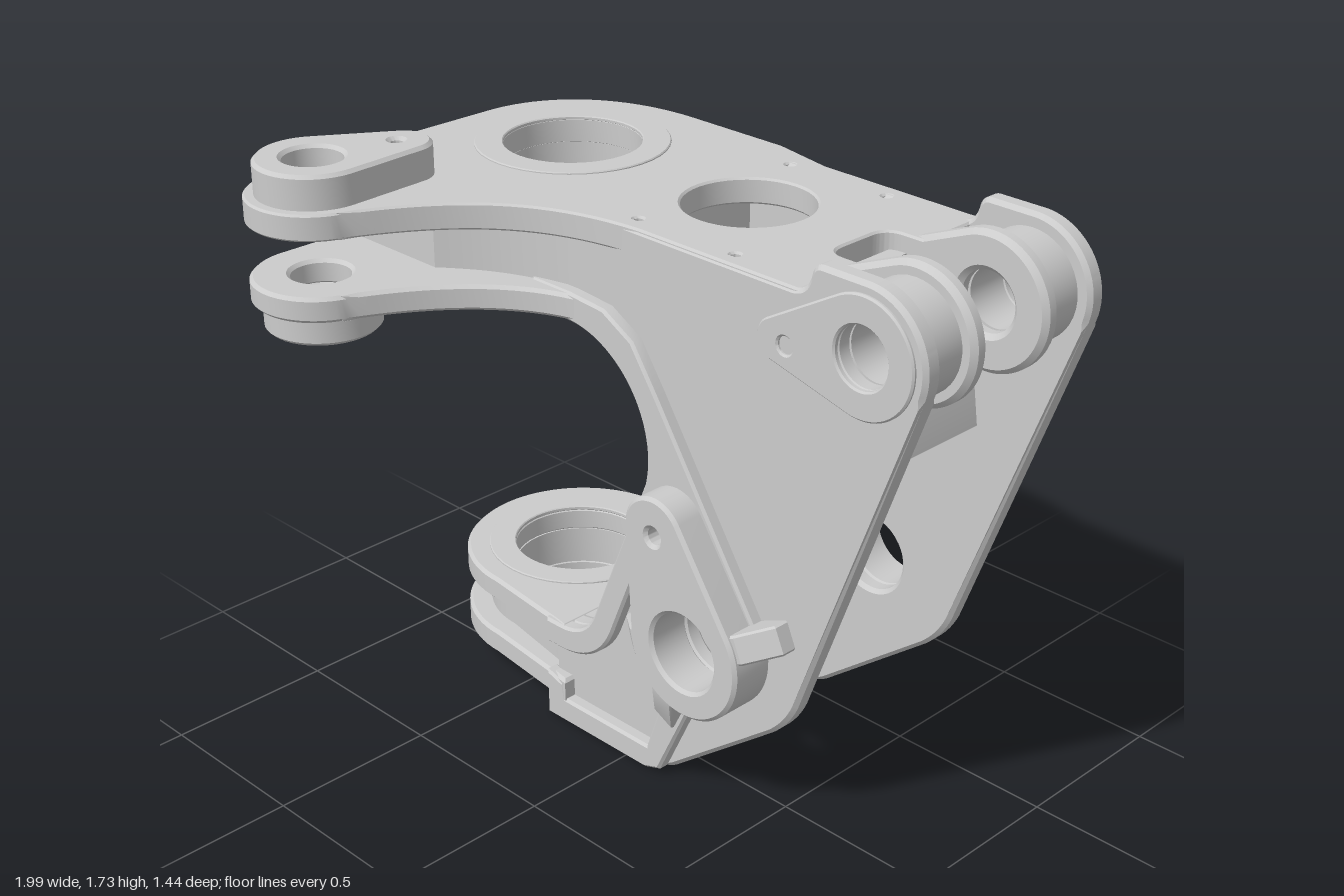
import * as THREE from 'three';
import { toCreasedNormals } from 'three/addons/utils/BufferGeometryUtils.js';

const PI = Math.PI, MID = -0.245; // MID: z of the symmetry plane of the body
const mat = new THREE.MeshStandardMaterial({ color: 0xcccccc, side: THREE.DoubleSide });

export function createModel() {
  const model = new THREE.Group();

  const add = (name, geo) => {
    const mesh = new THREE.Mesh(toCreasedNormals(geo, 0.5), mat);
    mesh.name = name;
    model.add(mesh);
  };
  const extrude = (shape, depth, bevel) => new THREE.ExtrudeGeometry(shape, {
    depth: depth - 2 * bevel, curveSegments: 20, bevelEnabled: bevel > 0,
    bevelSize: bevel, bevelThickness: bevel, bevelOffset: -bevel, bevelSegments: 1,
  }).translate(0, 0, bevel);
  // Shape in (x, y), extruded from z0 to z1
  const side = (name, shape, z0, z1, bevel = 0.008) =>
    add(name, extrude(shape, z1 - z0, bevel).translate(0, 0, z0));
  // The same on both sides of the symmetry plane
  const both = (name, shape, z0, z1, bevel) => {
    side(name, shape, z0, z1, bevel);
    side(name, shape, 2 * MID - z1, 2 * MID - z0, bevel);
  };
  // Shape in (x, z), extruded from y0 to y1
  const plan = (name, shape, y0, y1, bevel = 0.01) =>
    add(name, extrude(shape, y1 - y0, bevel).rotateX(PI / 2).translate(0, y1, 0));

  const poly = (pts) => new THREE.Shape(pts.map(([x, y]) => new THREE.Vector2(x, y)));
  const drill = (shape, ...holes) => {
    for (const [x, y, r] of holes)
      shape.holes.push(new THREE.Path().absarc(x, y, r, 0, 2 * PI, true));
    return shape;
  };
  const disc = (x, y, r) => new THREE.Shape().absarc(x, y, r, 0, 2 * PI);
  // Teardrop: two circles joined by tangents
  const taper = (x1, y1, r1, x2, y2, r2) => {
    const d = Math.atan2(y2 - y1, x2 - x1);
    const b = Math.acos((r1 - r2) / Math.hypot(x2 - x1, y2 - y1));
    const s = new THREE.Shape();
    s.absarc(x1, y1, r1, d + b, d - b + 2 * PI);
    s.absarc(x2, y2, r2, d - b, d + b);
    s.closePath();
    return s;
  };
  // Band of thickness t on the left of a run of points
  const strip = (pts, t) => {
    const off = pts.map(([x, y], i) => {
      const a = pts[Math.max(i - 1, 0)], b = pts[Math.min(i + 1, pts.length - 1)];
      const l = Math.hypot(b[0] - a[0], b[1] - a[1]);
      return [x - t * (b[1] - a[1]) / l, y + t * (b[0] - a[0]) / l];
    });
    return poly([...pts, ...off.reverse()]);
  };

  // Inner edge of the C, from the upper arm down to the lower arm
  const throat = (p) => {
    p.moveTo(-0.35, 1.32);
    p.lineTo(-0.22, 1.32);
    p.absarc(-0.22, 1.0, 0.315, PI / 2, -0.25, true);
    p.lineTo(-0.12, 0.43);
    p.quadraticCurveTo(-0.16, 0.33, -0.27, 0.33);
    p.lineTo(-0.33, 0.33);
    return p;
  };
  const cPts = throat(new THREE.Path()).getPoints(16).map((v) => [v.x, v.y])
    .filter((p, i, a) => !i || Math.hypot(p[0] - a[i - 1][0], p[1] - a[i - 1][1]) > 1e-4);

  const kingpin = [-0.6, MID, 0.2], lugHole = [-0.8, 0.52, 0.085];
  const earHole = [0.8, 1.52, 0.085], pivot = [0.32, 0.53, 0.115];

  // Side plates
  const plate = throat(new THREE.Shape());
  plate.lineTo(-0.33, 0);
  plate.lineTo(0.08, 0);
  plate.quadraticCurveTo(0.13, 0, 0.17, 0.03);
  plate.lineTo(0.53, 0.31);
  plate.quadraticCurveTo(0.59, 0.36, 0.62, 0.43);
  plate.lineTo(0.983, 1.452);
  plate.absarc(0.8, 1.52, 0.195, -0.36, PI / 2);
  plate.lineTo(0.66, 1.715);
  plate.quadraticCurveTo(0.63, 1.715, 0.622, 1.68);
  plate.quadraticCurveTo(0.61, 1.63, 0.56, 1.63);
  plate.lineTo(-0.35, 1.63);
  plate.closePath();
  both('sidePlate', drill(plate, earHole, pivot, [0.21, 0.85, 0.025]), 0.05, 0.11, 0.012);

  // Raised panel, throat rim and lower rail on the outer faces
  both('raisedPanel', poly([...cPts.filter((p) => p[1] > 0.9), [0.01, 0.74], [0.1, 0.7], [0.2, 0.62],
    [0.5, 0.64], [0.13, 1.2], [0.04, 1.33], [-0.07, 1.39], [-0.2, 1.4], [-0.35, 1.4]]), 0.1, 0.148);
  const low = [[0.012, 0.75], ...cPts.filter((p) => p[1] < 0.5)];
  both('throatRim', strip(low, 0.08), 0.1, 0.148);
  both('lowerRail', poly([[-0.33, 0], [0.08, 0], [0.14, 0.02], [0.29, 0.34], [0.18, 0.34],
    [0.09, 0.08], [-0.25, 0.08], [-0.26, 0.13], [-0.33, 0.15]]), 0.1, 0.148);

  // Walls between the side plates
  const across = (name, shape) => side(name, shape, -0.545, 0.055, 0);
  across('throatWall', strip(cPts, 0.05));
  across('crossMember', strip([[0.49, 1.58], [0.49, 1.42], [0.6, 1.2], [0.62, 1.06]], 0.05));
  across('floor', poly([[-0.33, 0], [0.08, 0], [0.14, 0.02], [0.14, 0.05], [-0.33, 0.05]]));
  side('centreRib', poly([[-0.27, 0.03], [0.13, 0.03], [0.02, 0.3], [-0.04, 0.42], [-0.1, 0.42],
    [-0.27, 0.3]]), MID - 0.022, MID + 0.022);

  // Upper arm: top plate with clevis slot, bottom flange, recessed web
  const lugEnd = (s) => { // shared outline around the lug and the bearing
    s.absarc(-0.8, 0.52, 0.195, 0.3, PI);
    s.lineTo(-0.98, MID);
    s.bezierCurveTo(-0.98, -0.47, -0.8, -0.64, -0.5, -0.64);
  };
  const top = new THREE.Shape().moveTo(0.6, 0.105);
  top.lineTo(0.02, 0.105);
  top.bezierCurveTo(-0.32, 0.13, -0.49, 0.3, -0.614, 0.578);
  lugEnd(top);
  top.lineTo(-0.15, -0.64);
  top.lineTo(0.05, -0.6);
  top.lineTo(0.6, -0.595);
  top.lineTo(0.6, -0.36);
  top.lineTo(0.53, -0.36);
  top.quadraticCurveTo(0.47, -0.36, 0.47, -0.3);
  top.lineTo(0.47, -0.19);
  top.quadraticCurveTo(0.47, -0.13, 0.53, -0.13);
  top.lineTo(0.6, -0.13);
  drill(top, kingpin, lugHole, [0.09, MID, 0.185]);
  for (const x of [-0.03, 0.32]) for (const z of [0.05, -0.54]) drill(top, [x, z, 0.014]);
  plan('topPlate', top, 1.555, 1.632, 0.006);

  const flange = new THREE.Shape().moveTo(-0.18, 0.148);
  flange.bezierCurveTo(-0.38, 0.2, -0.52, 0.36, -0.614, 0.578);
  lugEnd(flange);
  flange.lineTo(-0.18, -0.638);
  flange.closePath();
  plan('upperArmFlange', drill(flange, kingpin, lugHole), 1.32, 1.395);

  const web = new THREE.Shape().moveTo(-0.18, 0.1);
  web.bezierCurveTo(-0.4, 0.13, -0.5, 0.2, -0.6, 0.28);
  web.lineTo(-0.94, 0.28);
  web.lineTo(-0.94, MID);
  web.absarc(-0.6, MID, 0.34, PI, 1.5 * PI);
  web.lineTo(-0.18, -0.59);
  web.closePath();
  plan('upperArmWeb', drill(web, kingpin), 1.39, 1.56, 0);

  plan('bearingRim', drill(disc(-0.6, MID, 0.282), kingpin), 1.625, 1.638, 0.003);
  plan('lugPad', drill(taper(-0.8, 0.52, 0.165, -0.73, 0.27, 0.085), lugHole, [-0.74, 0.28, 0.02]), 1.62, 1.73);
  plan('lugBoss', drill(disc(-0.8, 0.52, 0.165), lugHole), 1.24, 1.33);

  // Lower arm: two flanges around a recessed web
  const lowerArm = (r, inset, xEnd) => {
    const s = new THREE.Shape().moveTo(xEnd, 0.148 - inset);
    s.lineTo(-0.3, 0.14 - inset);
    s.lineTo(-0.6, MID + r);
    s.absarc(-0.6, MID, r, PI / 2, 1.5 * PI);
    s.lineTo(-0.3, -0.63 + inset);
    s.lineTo(xEnd, -0.638 + inset);
    s.closePath();
    return drill(s, kingpin);
  };
  plan('lowerArmFlange', lowerArm(0.35, 0, -0.25), 0.065, 0.145);
  plan('lowerArmFlange', lowerArm(0.35, 0, -0.25), 0.255, 0.333);
  plan('lowerArmWeb', lowerArm(0.28, 0.05, -0.25), 0.14, 0.26, 0);
  plan('bearingRim', drill(disc(-0.6, MID, 0.282), kingpin), 0.326, 0.34, 0.003);

  // Clevis ears: inner flange, hub and root block on each side
  both('earInnerFlange', drill(taper(0.8, 1.52, 0.193, 0.58, 1.51, 0.118), earHole), -0.13, -0.075, 0.015);
  both('earHub', drill(disc(0.8, 1.52, 0.155), earHole), -0.08, 0.055, 0);
  both('earRoot', poly([[0.47, 1.36], [0.58, 1.36], [0.66, 1.44], [0.66, 1.61], [0.47, 1.61]]), -0.12, 0.055, 0);
  side('earPad', drill(taper(0.8, 1.52, 0.165, 0.52, 1.48, 0.06), earHole, [0.555, 1.475, 0.025]), 0.1, 0.12, 0.005);
  side('earPad', drill(disc(0.8, 1.52, 0.165), earHole), -0.608, -0.59, 0.005);

  // Pivot bosses with radial ribs
  side('pivotBossFront', drill(taper(0.32, 0.53, 0.2, 0.21, 0.85, 0.11), pivot, [0.21, 0.845, 0.025]), 0.1, 0.24, 0.01);
  side('pivotBossBack', drill(disc(0.32, 0.53, 0.2), pivot), -0.725, -0.59, 0.01);
  const rib = (angle, length, end, front) => {
    const s = poly([[0.15, 0], [length, 0], [length, end], [0.21, 0.12], [0.15, 0.12]]);
    add('pivotRib', extrude(s, 0.085, 0.006).translate(0, 0, -0.0425)
      .rotateX(front ? PI / 2 : -PI / 2).rotateZ(angle)
      .translate(0.32, 0.53, front ? 0.105 : -0.595));
  };
  for (const front of [true, false]) {
    rib(0.42, 0.305, 0.05, front);
    rib(-2.88, 0.3, 0.05, front);
    rib(-2.03, 0.36, 0.045, front);
  }
  rib(2.2, 0.3, 0.05, false);

  return model;
}
